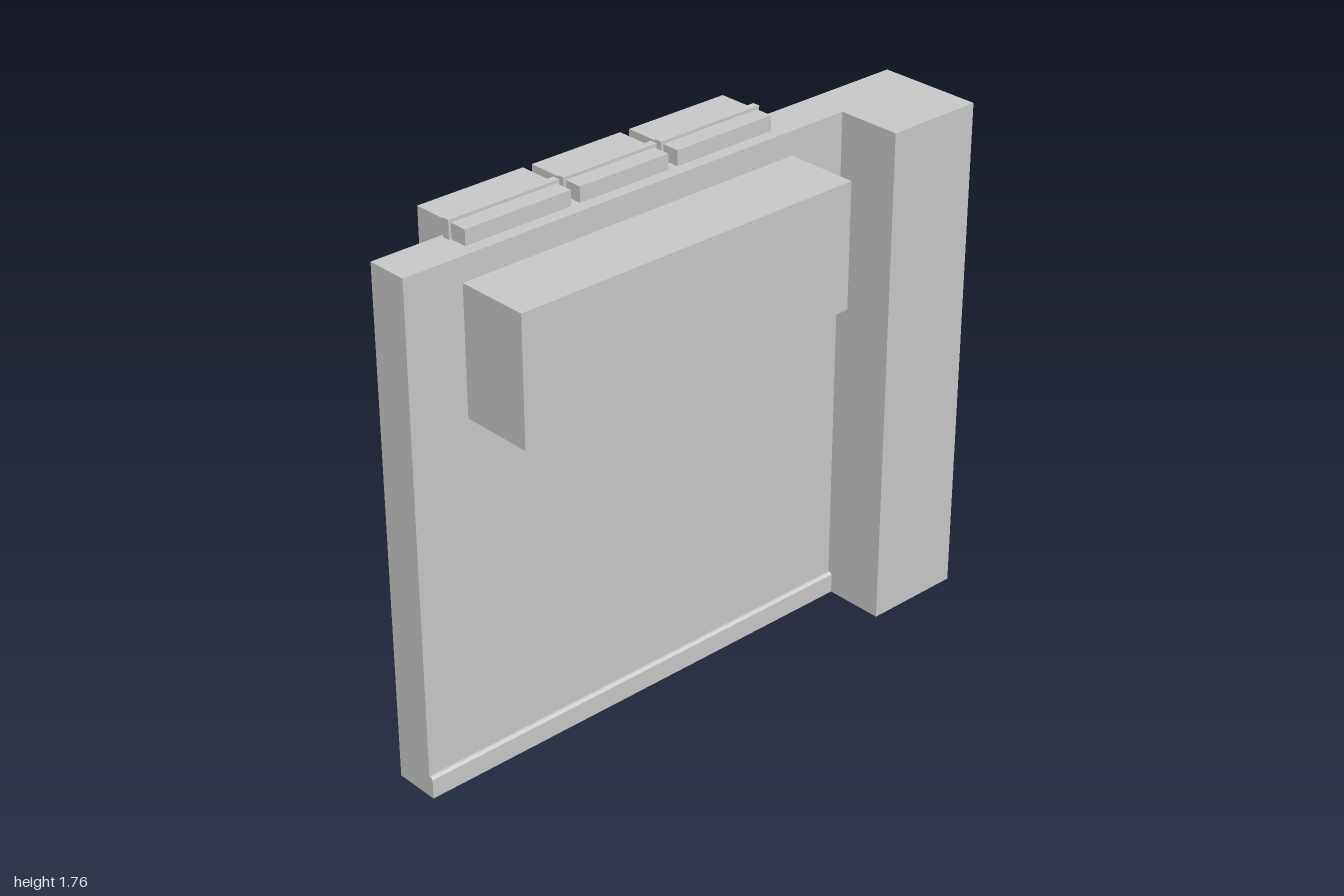
import * as THREE from 'three';

const material = new THREE.MeshStandardMaterial({ color: 0xcccccc, flatShading: true });

// Box given by its extents on each axis
function block(name, [x0, x1], [y0, y1], [z0, z1]) {
  const mesh = new THREE.Mesh(new THREE.BoxGeometry(x1 - x0, y1 - y0, z1 - z0), material);
  mesh.position.set((x0 + x1) / 2, (y0 + y1) / 2, (z0 + z1) / 2);
  mesh.name = name;
  return mesh;
}

// Straight extrusion of a closed outline
function prism(name, points, depth) {
  const shape = new THREE.Shape(points.map(([x, y]) => new THREE.Vector2(x, y)));
  const mesh = new THREE.Mesh(new THREE.ExtrudeGeometry(shape, { depth, bevelEnabled: false }), material);
  mesh.name = name;
  return mesh;
}

export function createModel() {
  const model = new THREE.Group();
  model.name = 'wallSection';

  // Wall with a projecting pier: L-shaped footprint (x, -z) raised upwards
  const wall = prism('wallAndPier', [
    [-1, 0], [0.66, 0], [0.66, -0.22], [1, -0.22], [1, 0.14], [-1, 0.14],
  ], 1.7);
  wall.rotation.x = -Math.PI / 2;
  model.add(wall);

  // Skirting board with a chamfered top edge: profile (-z, y) run along x
  const skirting = prism('skirtingBoard', [
    [0.005, 0], [0.005, 0.073], [-0.007, 0.073], [-0.015, 0.066], [-0.015, 0],
  ], 1.66);
  skirting.rotation.y = Math.PI / 2;
  skirting.position.x = -1;
  model.add(skirting);

  // Long cabinet passing through the wall
  model.add(block('cabinet', [-0.8, 0.45], [1.2, 1.62], [-0.22, 0.247]));

  // Stepped panel on the back of the wall
  model.add(block('backPanelBase', [-0.82, 0.48], [0.4, 1.65], [-0.15, -0.13]));
  model.add(block('backPanelFace', [-0.8, 0.46], [0.44, 1.63], [-0.163, -0.13]));

  // Three units over the wall top, each with a thin raised band
  const spans = [[-0.753, -0.375], [-0.342, -0.008], [0.027, 0.402]];
  spans.forEach(([x0, x1], i) => {
    const unit = new THREE.Group();
    unit.name = `topUnit${i + 1}`;
    unit.add(block('unitBody', [x0, x1], [1.25, 1.75], [-0.25, -0.042]));
    unit.add(block('unitBand', [x0 - 0.009, x1 + 0.009], [1.25, 1.76], [-0.127, -0.102]));
    model.add(unit);
  });

  return model;
}
